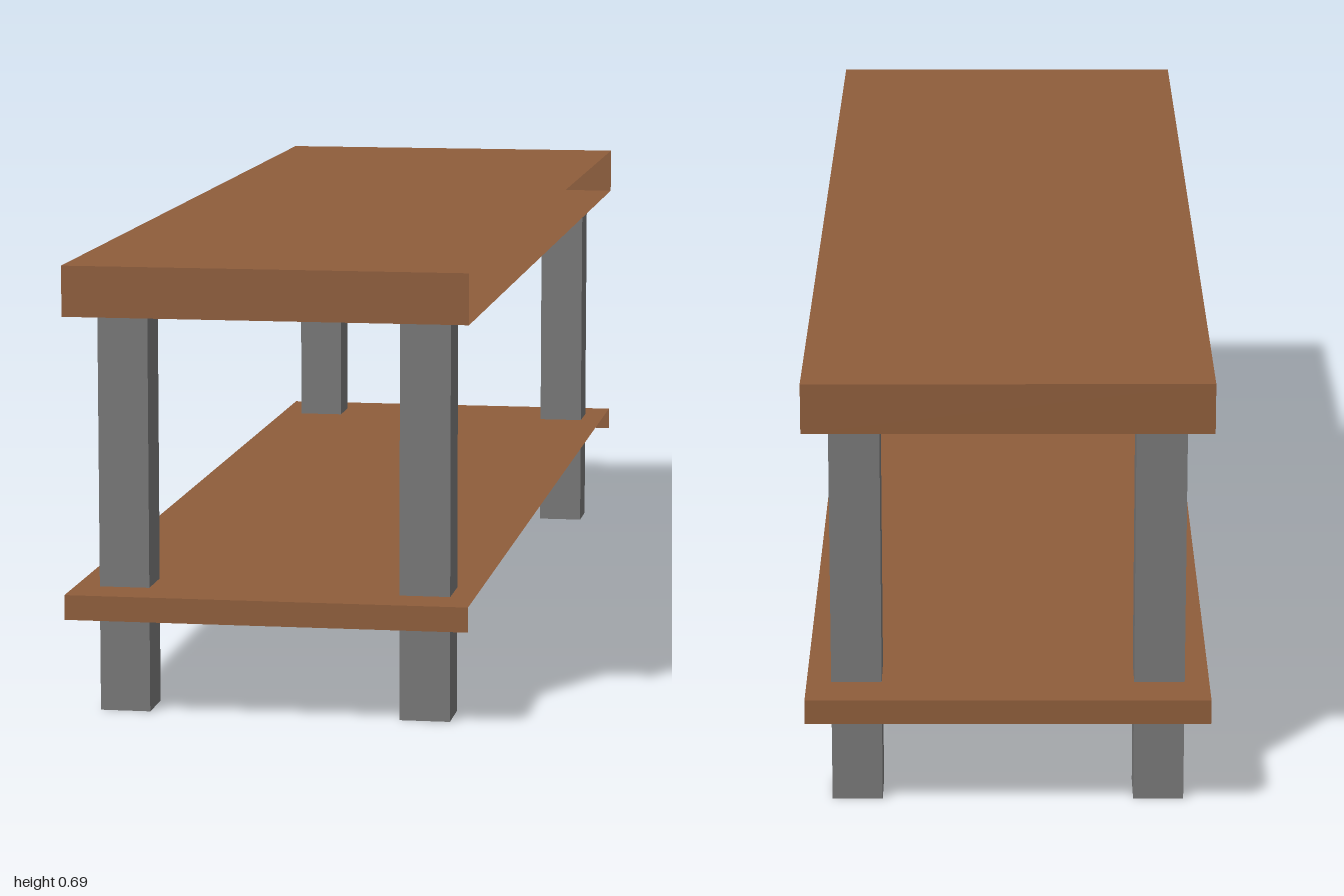
import * as THREE from 'three';

// Side order used by BoxGeometry
const SIDES = ['+x', '-x', '+y', '-y', '+z', '-z'];

// Box with some of its sides left open
function openBox(width, height, depth, open) {
  const geometry = new THREE.BoxGeometry(width, height, depth);
  const source = geometry.index.array;
  const kept = [];
  SIDES.forEach((side, i) => {
    if (!open.includes(side)) kept.push(...source.slice(i * 6, i * 6 + 6));
  });
  geometry.setIndex(kept);
  geometry.clearGroups();
  return geometry;
}

export function createModel() {
  const group = new THREE.Group();
  group.name = 'bench';

  // The shells are open, so both faces show
  const wood = new THREE.MeshStandardMaterial({ color: 0x8e5d3b, side: THREE.DoubleSide });
  wood.name = 'brown wood';
  const metal = new THREE.MeshStandardMaterial({ color: 0x777777, side: THREE.DoubleSide });
  metal.name = 'grey metal';

  function add(name, geometry, material, x, y, z) {
    const mesh = new THREE.Mesh(geometry, material);
    mesh.name = name;
    mesh.position.set(x, y, z);
    group.add(mesh);
  }

  // Thick top slab, open along its left side
  const topBottom = 0.615, topHeight = 0.077;
  add('topSlab', openBox(0.614, topHeight, 2, ['+x']), wood, 0, topBottom + topHeight / 2, 0);

  // Thin lower shelf, open along its left side and underneath
  add('lowerShelf', openBox(0.614, 0.038, 2, ['+x', '-y']), wood, 0, 0.173, 0);

  // Four square hollow legs
  const legGeometry = openBox(0.077, topBottom, 0.077, ['+y', '-y']);
  for (const [sideName, sx] of [['Left', 1], ['Right', -1]]) {
    for (const [endName, sz] of [['front', 1], ['back', -1]]) {
      add(`${endName}${sideName}Leg`, legGeometry, metal, sx * 0.231, topBottom / 2, sz * 0.885);
    }
  }

  return group;
}
